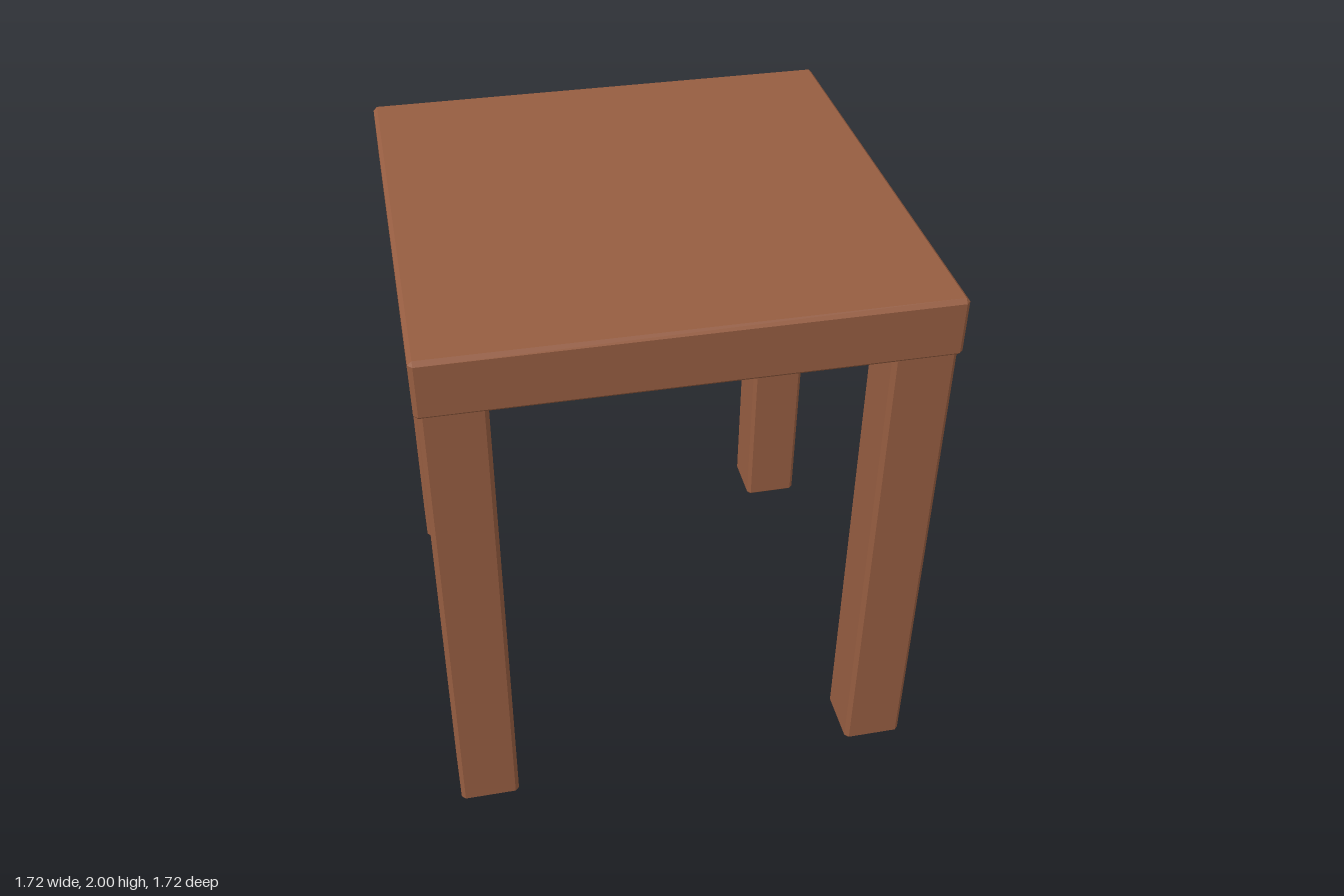
import * as THREE from 'three';
import { ConvexGeometry } from 'three/addons/geometries/ConvexGeometry.js';

// Box with a flat chamfer along every edge
function chamferedBox(width, height, depth, c) {
  const half = [width / 2, height / 2, depth / 2];
  const points = [];
  for (const sx of [-1, 1]) for (const sy of [-1, 1]) for (const sz of [-1, 1]) {
    for (let outer = 0; outer < 3; outer++) {
      const [x, y, z] = half.map((h, axis) => (axis === outer ? h : h - c));
      points.push(new THREE.Vector3(sx * x, sy * y, sz * z));
    }
  }
  return new ConvexGeometry(points);
}

export function createModel() {
  const model = new THREE.Group();
  model.name = 'sideTable';

  const wood = new THREE.MeshStandardMaterial({ color: 0x965d41 });
  wood.name = 'brown wood';

  // Square slab top
  const top = new THREE.Mesh(chamferedBox(1.72, 0.21, 1.72, 0.014), wood);
  top.name = 'tableTop';
  top.position.y = 1.895;
  model.add(top);

  // Four square legs, set just inside the corners and let into the top
  const legHeight = 1.81;
  const legGeometry = chamferedBox(0.214, legHeight, 0.214, 0.014);
  for (const [sz, end] of [[1, 'front'], [-1, 'back']]) {
    for (const [sx, side] of [[1, 'Left'], [-1, 'Right']]) {
      const leg = new THREE.Mesh(legGeometry, wood);
      leg.name = `${end}${side}Leg`;
      leg.position.set(sx * 0.741, legHeight / 2, sz * 0.741);
      model.add(leg);
    }
  }

  return model;
}
